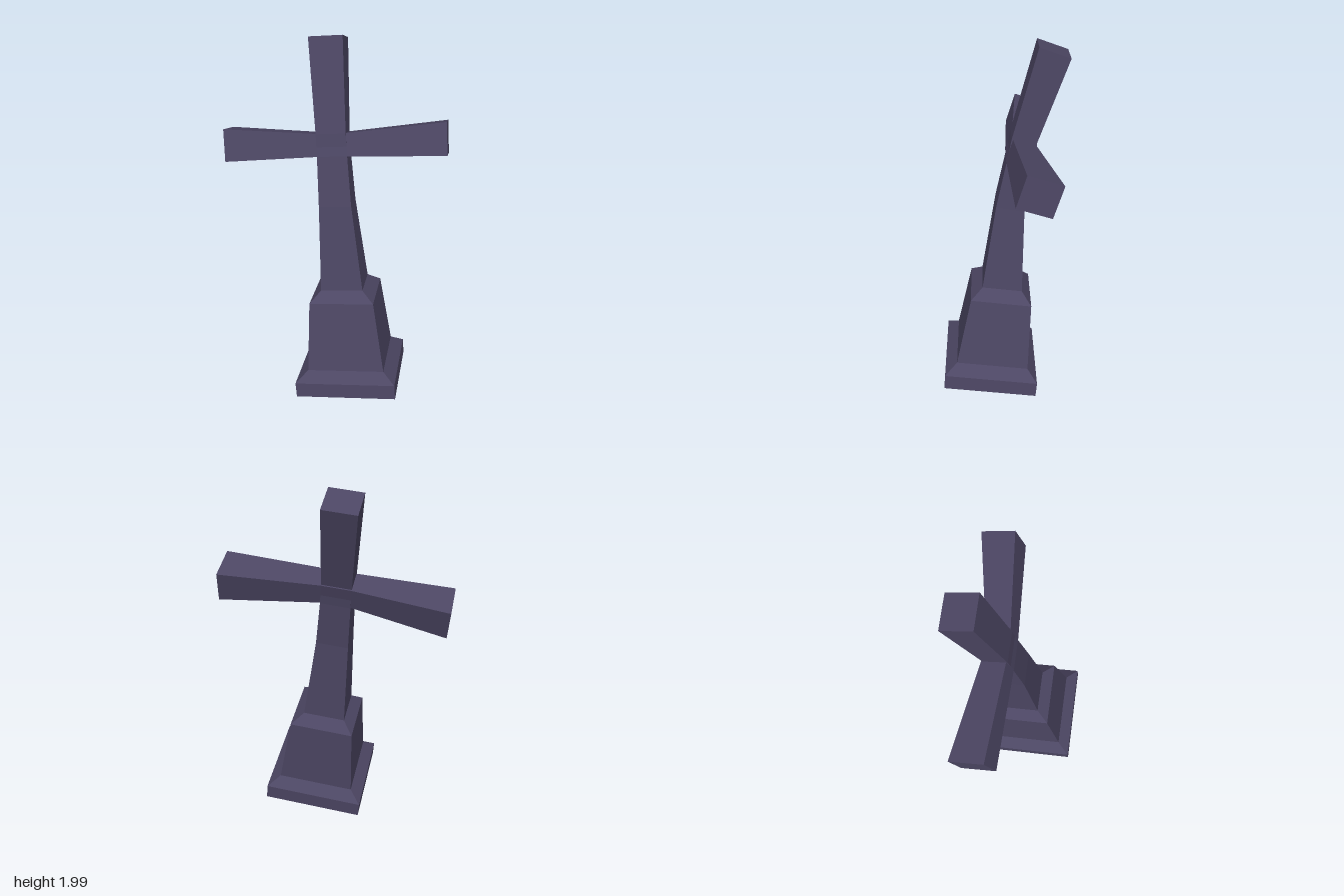
import * as THREE from 'three';

const stone = new THREE.MeshStandardMaterial({ color: 0x4c4663, side: THREE.DoubleSide });
stone.name = 'purple grey stone';

// Flat-sided skin over four-cornered rings; each ring runs anticlockwise seen from the end it leads to
function loft(name, rings, capStart, capEnd) {
  const pos = [];
  const quad = (a, b, c, d) => [a, b, c, a, c, d].forEach((p) => pos.push(p.x, p.y, p.z));
  for (let i = 0; i < rings.length - 1; i++) {
    const lo = rings[i], hi = rings[i + 1];
    for (let k = 0; k < 4; k++) {
      const n = (k + 1) % 4;
      quad(lo[k], lo[n], hi[n], hi[k]);
    }
  }
  if (capStart) quad(...rings[0].slice().reverse());
  if (capEnd) quad(...rings[rings.length - 1]);
  const geo = new THREE.BufferGeometry();
  geo.setAttribute('position', new THREE.Float32BufferAttribute(pos, 3));
  geo.computeVertexNormals();
  const mesh = new THREE.Mesh(geo, stone);
  mesh.name = name;
  return mesh;
}

const corners = [[-1, -1], [1, -1], [1, 1], [-1, 1]];

// Level ring of an upright part; tilt (degrees) lowers its rear edge
function levelRing([x, y, z, halfW, halfD, tilt]) {
  const t = THREE.MathUtils.degToRad(tilt);
  return corners.map(([u, v]) => new THREE.Vector3(
    x + u * halfW, y - v * halfD * Math.sin(t), z - v * halfD * Math.cos(t)));
}

// Upright ring of a sideways part, tilted in the same sense
function armRing([x, y, z, halfH, halfD, tilt]) {
  const t = THREE.MathUtils.degToRad(tilt);
  return corners.map(([u, v]) => new THREE.Vector3(
    x,
    y + u * halfH * Math.cos(t) + v * halfD * Math.sin(t),
    z - u * halfH * Math.sin(t) + v * halfD * Math.cos(t)));
}

export function createModel() {
  const model = new THREE.Group();
  model.name = 'leaningStoneCross';

  // The whole monument has sunk and leans backwards
  const leaning = new THREE.Group();
  leaning.name = 'leaningMonument';
  leaning.rotation.set(-0.1375, -0.536, 0.09, 'YXZ');
  leaning.position.set(-0.006, 0.069, 0.15);
  model.add(leaning);

  // Open-bottomed slab with bevelled top
  leaning.add(loft('baseSlab', [
    [0, 0, 0, 0.277, 0.262, 0],
    [0, 0.086, 0.004, 0.277, 0.262, 0],
    [0, 0.137, 0.003, 0.212, 0.202, 0],
  ].map(levelRing), false, false));

  // Tapered pedestal with bevelled shoulder
  leaning.add(loft('pedestal', [
    [0, 0.137, 0.003, 0.212, 0.202, 0],
    [-0.003, 0.534, 0.003, 0.176, 0.168, 0],
    [-0.005, 0.588, 0.003, 0.115, 0.110, 0],
  ].map(levelRing), false, false));

  // Bent shaft, narrowest at the crossing and flared at the top
  leaning.add(loft('shaft', [
    [-0.005, 0.588, 0.003, 0.115, 0.110, 0],
    [-0.010, 1.066, 0.021, 0.087, 0.077, 3],
    [-0.010, 1.328, 0.011, 0.080, 0.065, 8],
    [-0.010, 1.448, 0.003, 0.079, 0.065, 10],
    [-0.013, 1.932, -0.084, 0.089, 0.084, 12],
  ].map(levelRing), false, true));

  // Flared arms, swept slightly back
  leaning.add(loft('crossArms', [
    [-0.595, 1.389, -0.045, 0.087, 0.0915, 10],
    [-0.088, 1.389, 0.006, 0.060, 0.065, 10],
    [0.068, 1.389, 0.006, 0.060, 0.065, 10],
    [0.585, 1.391, -0.058, 0.087, 0.0915, 10],
  ].map(armRing), true, true));

  return model;
}
